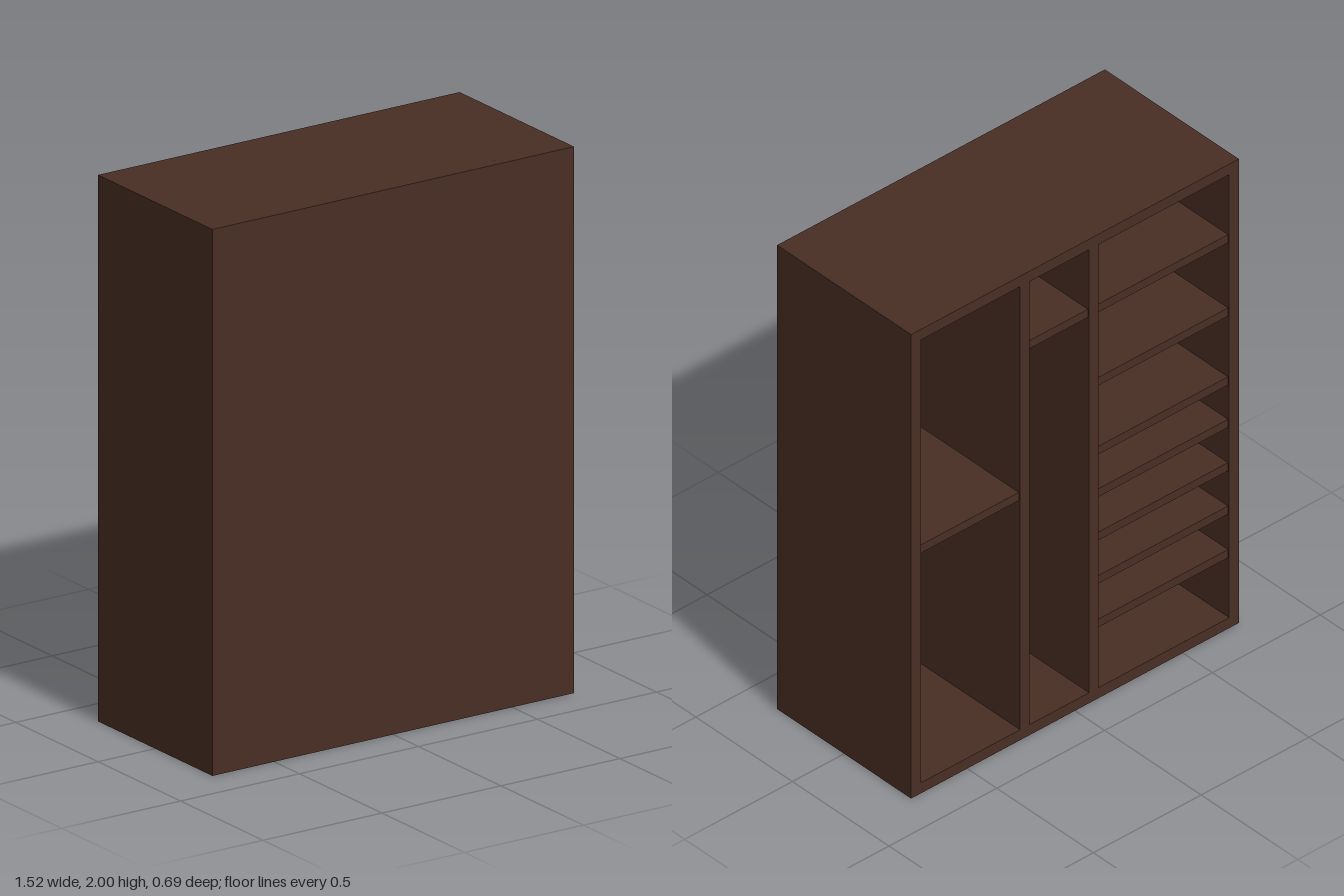
import * as THREE from 'three';

export function createModel() {
  const group = new THREE.Group();
  const wood = new THREE.MeshStandardMaterial({ color: 0x482e24 });
  wood.name = 'dark brown wood';

  const W = 0.76, H = 2, D = 0.347, T = 0.045, FRONT = 0.04;

  // Box given by its lower and upper corners
  const board = (name, x0, x1, y0, y1, z0, z1) => {
    const mesh = new THREE.Mesh(new THREE.BoxGeometry(x1 - x0, y1 - y0, z1 - z0), wood);
    mesh.position.set((x0 + x1) / 2, (y0 + y1) / 2, (z0 + z1) / 2);
    mesh.name = name;
    group.add(mesh);
  };

  // Carcass, closed at the front and open at the back
  const inner = D - FRONT;
  board('frontPanel', -W, W, 0, H, inner, D);
  board('topPanel', -W, W, H - T, H, -D, inner);
  board('bottomPanel', -W, W, 0, T, -D, inner);
  board('leftPanel', W - T, W, T, H - T, -D, inner);
  board('rightPanel', -W, -W + T, T, H - T, -D, inner);

  // Upright dividers making three compartments
  board('leftDivider', 0.21, 0.255, T, H - T, -D, inner);
  board('rightDivider', -0.11, -0.065, T, H - T, -D, inner);

  // Shelves, placed by the height of their top face
  const shelf = (name, x0, x1, top) => board(name, x0, x1, top - 0.035, top, -D + 0.006, inner);
  [1.693, 1.377, 1.08, 0.897, 0.71, 0.523, 0.335].forEach((top, i) =>
    shelf(`sideShelf${i + 1}`, -W + T, -0.11, top));
  shelf('middleShelf', -0.065, 0.21, 1.695);
  shelf('hangingShelf', 0.255, W - T, 1.065);

  // Clothes rails with a round socket at each end
  const rail = (name, x0, x1, y) => {
    const part = new THREE.Group();
    part.name = name;
    const cylinder = (label, radius, length, x) => {
      const mesh = new THREE.Mesh(new THREE.CylinderGeometry(radius, radius, length, 24), wood);
      mesh.rotation.z = Math.PI / 2;
      mesh.position.set(x, y, 0);
      mesh.name = label;
      part.add(mesh);
    };
    cylinder('rod', 0.016, x1 - x0, (x0 + x1) / 2);
    cylinder('rightSocket', 0.03, 0.02, x0 + 0.01);
    cylinder('leftSocket', 0.03, 0.02, x1 - 0.01);
    group.add(part);
  };
  rail('upperRail', 0.255, W - T, 1.85);
  rail('lowerRail', 0.255, W - T, 0.915);
  rail('middleRail', -0.065, 0.21, 1.55);

  return group;
}
